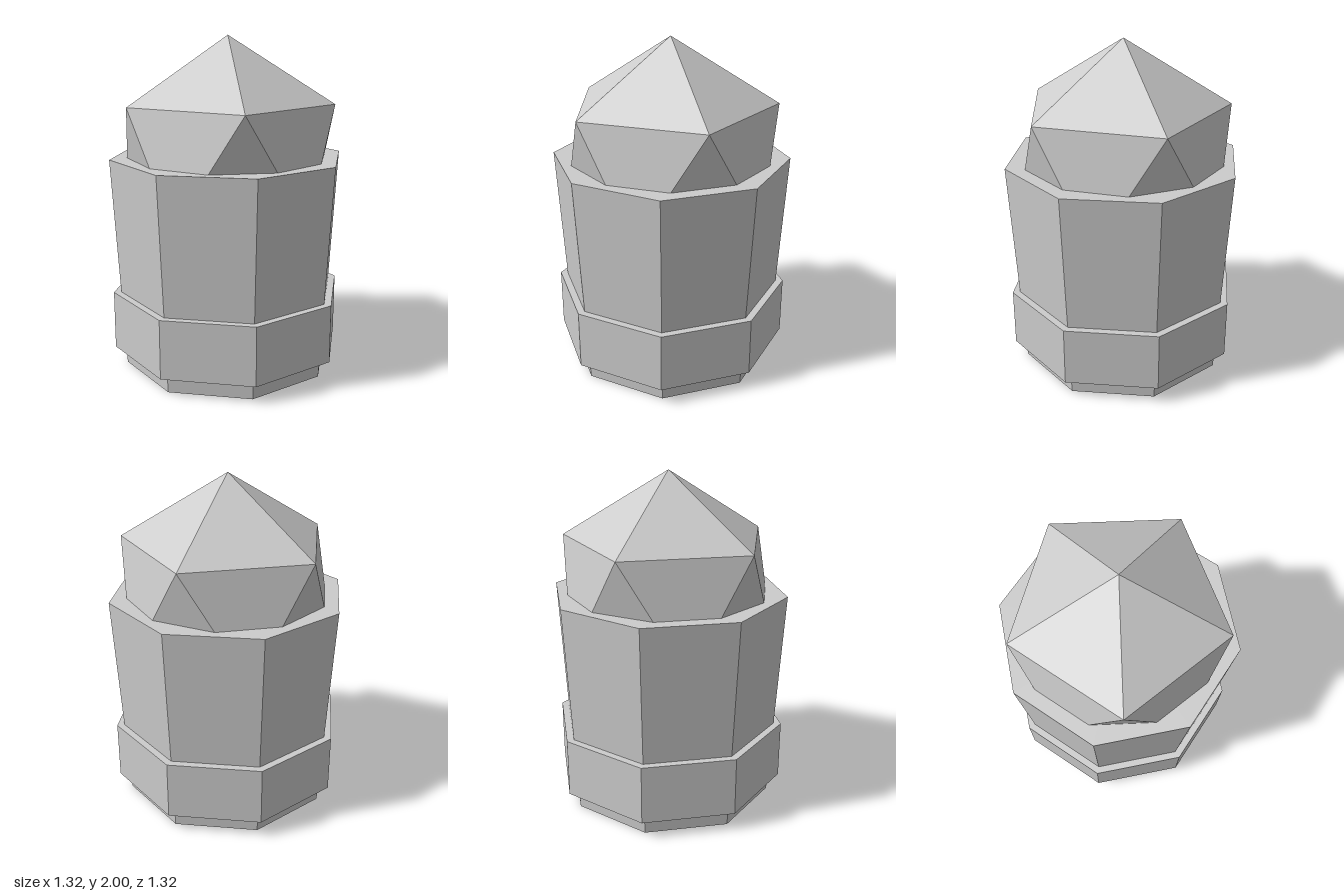
import * as THREE from 'three';
import { ConvexGeometry } from 'three/addons/geometries/ConvexGeometry.js';

const grey = new THREE.MeshStandardMaterial({ color: 0xcccccc, flatShading: true });
grey.name = 'grey';

// Eight-sided tapered prism with flat sides facing the axes; sizes are centre-to-side distances
function octagon(name, bottomHalf, topHalf, y0, y1) {
  const k = 1 / Math.cos(Math.PI / 8);
  const geometry = new THREE.CylinderGeometry(topHalf * k, bottomHalf * k, y1 - y0, 8, 1, false, Math.PI / 8);
  const mesh = new THREE.Mesh(geometry, grey);
  mesh.name = name;
  mesh.position.y = (y0 + y1) / 2;
  return mesh;
}

// Twenty-sided ball standing on a vertex, one upper-ring corner pointing to +x
function facetedBall(name, radius, centreY) {
  const ring = radius * 2 / Math.sqrt(5), h = radius / Math.sqrt(5);
  const points = [new THREE.Vector3(0, radius, 0), new THREE.Vector3(0, -radius, 0)];
  for (let i = 0; i < 10; i++) {
    const a = i * Math.PI / 5;
    points.push(new THREE.Vector3(ring * Math.cos(a), i % 2 ? -h : h, ring * Math.sin(a)));
  }
  const mesh = new THREE.Mesh(new ConvexGeometry(points), grey);
  mesh.name = name;
  mesh.position.y = centreY;
  return mesh;
}

export function createModel() {
  const model = new THREE.Group();
  model.name = 'capsule';
  model.add(
    octagon('body', 0.593, 0.658, 0, 1.287),
    octagon('band', 0.658, 0.658, 0.11, 0.466),
    facetedBall('domeTip', 0.71, 1.29),
  );
  return model;
}
